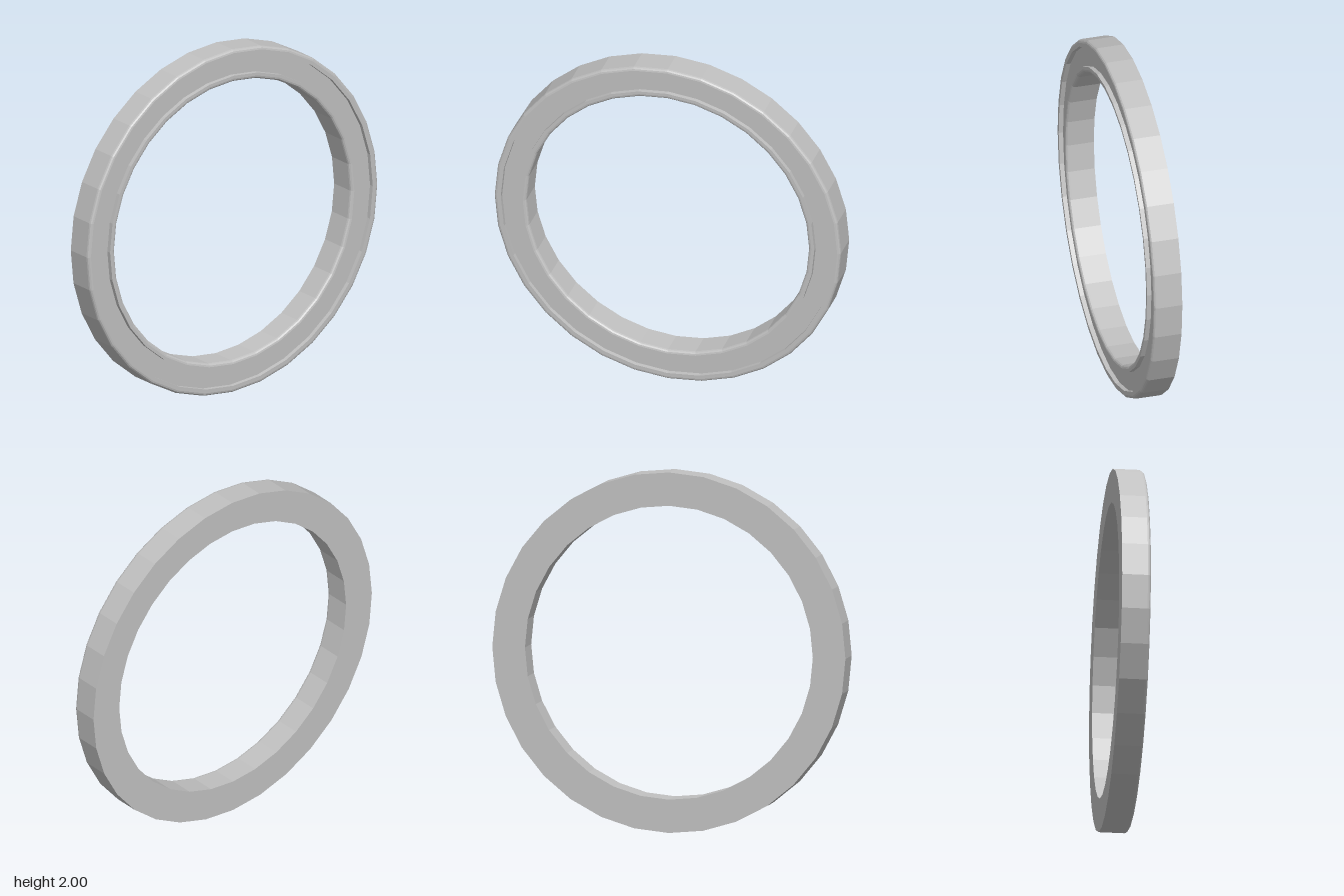
import * as THREE from 'three';

const SIDES = 32;
const HALF = 0.08;      // half the ring's thickness
const OUTER = 1;
const INNER = 0.815;
const BEVEL = 0.018;    // rounding of the face's corners
const RECESS = 0.025;   // depth of the channel in the face

// Rounded corner of the profile between two angles
function corner(r, x, from, to) {
  const points = [];
  for (let i = 0; i <= 3; i++) {
    const a = from + (to - from) * i / 3;
    points.push(new THREE.Vector2(r + BEVEL * Math.cos(a), x + BEVEL * Math.sin(a)));
  }
  return points;
}

export function createModel() {
  const model = new THREE.Group();
  const grey = new THREE.MeshStandardMaterial({ color: 0xc0c0c0, flatShading: true });
  grey.name = 'light grey';

  // Closed cross-section: flat back, rounded lips, sunken channel between them
  const profile = [
    new THREE.Vector2(INNER, -HALF),
    new THREE.Vector2(OUTER, -HALF),
    ...corner(OUTER - BEVEL, HALF - BEVEL, 0, Math.PI / 2),
    new THREE.Vector2(0.96, HALF),
    new THREE.Vector2(0.96, HALF - RECESS),
    new THREE.Vector2(0.85, HALF - RECESS),
    new THREE.Vector2(0.85, HALF),
    ...corner(INNER + BEVEL, HALF - BEVEL, Math.PI / 2, Math.PI),
    new THREE.Vector2(INNER, -HALF),
  ];

  // Ring stands upright with its channelled face towards +x, leaning very slightly
  const ring = new THREE.Mesh(new THREE.LatheGeometry(profile, SIDES), grey);
  ring.name = 'ring';
  ring.rotation.z = -Math.PI / 2 - 0.004;
  ring.position.y = 1;
  model.add(ring);
  return model;
}
